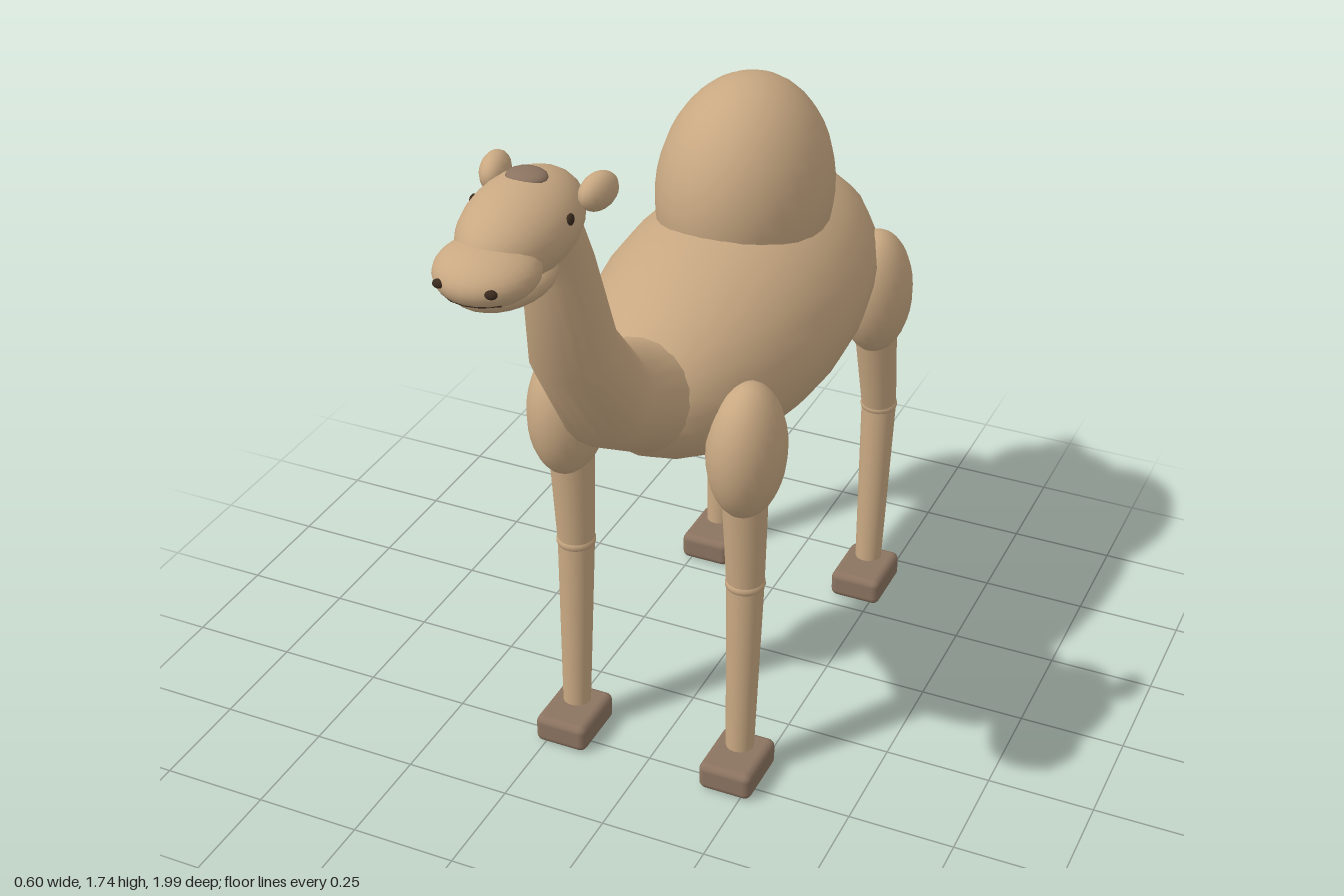
import * as THREE from 'three';
import { RoundedBoxGeometry } from 'three/addons/geometries/RoundedBoxGeometry.js';

const material = (name, color) => {
  const m = new THREE.MeshStandardMaterial({ color });
  m.name = name;
  return m;
};

// Smooth open tube through [x, y, z, radius] stations
function loft(stations, sides = 20) {
  const pts = stations.map(([x, y, z]) => new THREE.Vector3(x, y, z));
  const pos = [], index = [];
  pts.forEach((p, i) => {
    const t = new THREE.Vector3();
    if (i > 0) t.add(p.clone().sub(pts[i - 1]).normalize());
    if (i < pts.length - 1) t.add(pts[i + 1].clone().sub(p).normalize());
    t.normalize();
    const ref = Math.abs(t.x) > 0.8 ? new THREE.Vector3(0, 1, 0) : new THREE.Vector3(1, 0, 0);
    const up = t.clone().cross(ref).normalize();
    const side = up.clone().cross(t);
    for (let j = 0; j < sides; j++) {
      const a = (j / sides) * Math.PI * 2, r = stations[i][3];
      const v = p.clone().addScaledVector(side, r * Math.cos(a)).addScaledVector(up, r * Math.sin(a));
      pos.push(v.x, v.y, v.z);
    }
  });
  for (let i = 0; i < pts.length - 1; i++) {
    for (let j = 0; j < sides; j++) {
      const k = (j + 1) % sides, a = i * sides + j, b = i * sides + k;
      index.push(a, b, a + sides, b, b + sides, a + sides);
    }
  }
  const g = new THREE.BufferGeometry();
  g.setAttribute('position', new THREE.Float32BufferAttribute(pos, 3));
  g.setIndex(index);
  g.computeVertexNormals();
  return g;
}

export function createModel() {
  const model = new THREE.Group();
  model.name = 'camel';
  const tan = material('tan coat', 0xc8a882);
  const brown = material('brown', 0x8b7360);
  const dark = material('dark brown', 0x3a2a1e);

  const add = (name, geometry, mat, parent = model) => {
    const mesh = new THREE.Mesh(geometry, mat);
    mesh.name = name;
    parent.add(mesh);
    return mesh;
  };
  // Ellipsoid by centre, radii and tilt about x
  const blob = (name, centre, radii, mat, parent = model, tilt = 0, segs = 24) => {
    const m = add(name, new THREE.SphereGeometry(1, segs, Math.round(segs * 0.75)), mat, parent);
    m.position.set(...centre);
    m.scale.set(...radii);
    m.rotation.x = tilt;
    return m;
  };
  // Tapered rod from a (radius ra) down to b (radius rb)
  const rod = (name, a, b, ra, rb, mat, parent) => {
    const A = new THREE.Vector3(...a), B = new THREE.Vector3(...b);
    const dir = A.clone().sub(B);
    const m = add(name, new THREE.CylinderGeometry(ra, rb, dir.length(), 20), mat, parent);
    m.position.copy(A).add(B).multiplyScalar(0.5);
    m.quaternion.setFromUnitVectors(new THREE.Vector3(0, 1, 0), dir.normalize());
  };

  // Trunk, hump and neck
  blob('body', [0, 0.99, -0.21], [0.285, 0.256, 0.575], tan);
  blob('hump', [0, 1.245, -0.287], [0.195, 0.268, 0.25], tan, model, 0, 28);
  add('neck', loft([
    [0, 1.0, 0.2, 0.13], [0, 1.01, 0.28, 0.128], [0, 1.09, 0.438, 0.106],
    [0, 1.275, 0.573, 0.091], [0, 1.49, 0.627, 0.072], [0, 1.6, 0.67, 0.064],
  ]), tan);

  // Head
  const head = new THREE.Group();
  head.name = 'head';
  model.add(head);
  blob('skull', [0, 1.635, 0.765], [0.105, 0.09, 0.168], tan, head, 0.08);
  blob('muzzle', [0, 1.605, 0.895], [0.1, 0.056, 0.1], tan, head, 0.05);
  blob('lowerJaw', [0, 1.562, 0.835], [0.09, 0.043, 0.13], tan, head, -0.05);
  blob('crownTuft', [0, 1.72, 0.735], [0.041, 0.015, 0.035], brown, head, 0, 16);
  add('mouth', loft([-0.06, -0.03, 0, 0.03, 0.06].map((x) =>
    [x, 1.576, 0.895 + 0.1 * Math.sqrt(0.74 - (x / 0.1) ** 2), 0.003]), 8), dark, head);
  for (const s of [1, -1]) {
    const ear = blob('ear', [s * 0.107, 1.678, 0.66], [0.029, 0.037, 0.05], tan, head, 0, 16);
    ear.rotation.y = -s * 0.2;
    blob('eye', [s * 0.099, 1.663, 0.76], [0.007, 0.012, 0.012], dark, head, 0, 12);
    blob('nostril', [s * 0.052, 1.606, 0.978], [0.013, 0.009, 0.01], dark, head, 0, 12);
  }

  // Legs: hip or shoulder, upper leg, knee, lower leg, foot
  const legs = [
    { name: 'frontLeg', top: 0.198, knee: 0.185, ankle: 0.205, foot: 0.22, tilt: 0 },
    { name: 'backLeg', top: -0.59, knee: -0.663, ankle: -0.635, foot: -0.615, tilt: 0.1 },
  ];
  for (const l of legs) {
    for (const s of [1, -1]) {
      const leg = new THREE.Group();
      leg.name = l.name;
      model.add(leg);
      const x = s * 0.21;
      blob('haunch', [s * 0.215, 0.88, l.top], [0.085, 0.162, 0.11], tan, leg, l.tilt);
      rod('upperLeg', [x, 0.88, l.top], [x, 0.525, l.knee], 0.056, 0.043, tan, leg);
      blob('knee', [x, 0.525, l.knee], [0.046, 0.027, 0.046], tan, leg, 0, 20);
      rod('lowerLeg', [x, 0.525, l.knee], [x, 0.08, l.ankle], 0.043, 0.033, tan, leg);
      const foot = add('foot', new RoundedBoxGeometry(0.13, 0.07, 0.165, 3, 0.018), brown, leg);
      foot.position.set(x, 0.035, l.foot);
    }
  }

  // Tail with its tuft
  add('tail', loft([
    [0, 1.09, -0.72, 0.017], [0.03, 0.93, -0.885, 0.015], [0.07, 0.66, -0.963, 0.013],
  ], 12), tan);
  blob('tailTuft', [0.073, 0.61, -0.963], [0.037, 0.088, 0.037], brown, model, 0, 18);

  return model;
}
